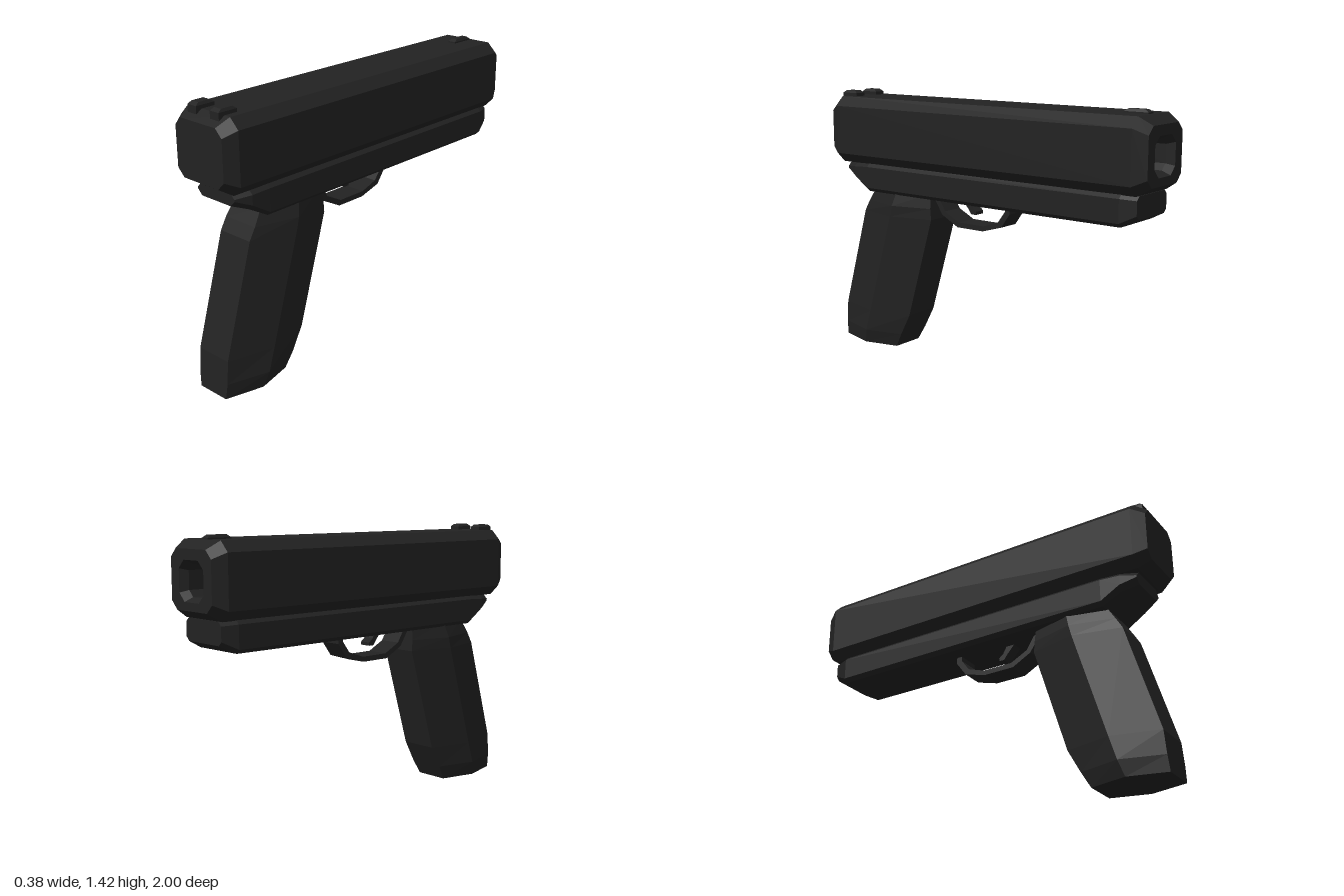
import * as THREE from 'three';

const black = new THREE.MeshStandardMaterial({ color: 0x222222, flatShading: true });
black.name = 'matte black';

// Skin between closed rings of equal length, with flat caps at both ends
function loft(rings) {
  const pos = [];
  const tri = (...pts) => pts.forEach((p) => pos.push(...p));
  const n = rings[0].length;
  for (let r = 0; r < rings.length - 1; r++) {
    const a = rings[r], b = rings[r + 1];
    for (let i = 0; i < n; i++) {
      const j = (i + 1) % n;
      tri(a[i], a[j], b[j]);
      tri(a[i], b[j], b[i]);
    }
  }
  const first = rings[0], last = rings[rings.length - 1];
  for (let i = 1; i < n - 1; i++) {
    tri(first[0], first[i + 1], first[i]);
    tri(last[0], last[i], last[i + 1]);
  }
  const geo = new THREE.BufferGeometry();
  geo.setAttribute('position', new THREE.Float32BufferAttribute(pos, 3));
  geo.computeVertexNormals();
  return geo;
}

// Rectangle with cut corners, lying across z
function octagon(z, hw, y0, y1, c) {
  return [
    [hw, y0 + c, z], [hw, y1 - c, z], [hw - c, y1, z], [c - hw, y1, z],
    [-hw, y1 - c, z], [-hw, y0 + c, z], [c - hw, y0, z], [hw - c, y0, z],
  ];
}

// Six-sided grip section, lying across y
function hexagon(y, front, back, hw, flat) {
  const mid = (front + back) / 2;
  return [
    [-flat, y, back], [flat, y, back], [hw, y, mid],
    [flat, y, front], [-flat, y, front], [-hw, y, mid],
  ];
}

// Side outline given as [z, y], thickened evenly across x
function sidePlate(points, width) {
  const shape = new THREE.Shape(points.map(([z, y]) => new THREE.Vector2(-z, y)));
  const geo = new THREE.ExtrudeGeometry(shape, { depth: width, bevelEnabled: false });
  geo.translate(0, 0, -width / 2);
  return geo.rotateY(Math.PI / 2);
}

// Small sight block with a bevelled top
function sight(x, z, hw, hl, top) {
  const ring = (y, w, l) => [[x - w, y, z + l], [x + w, y, z + l], [x + w, y, z - l], [x - w, y, z - l]];
  return loft([
    ring(1.37, hw, hl), ring(top - 0.013, hw, hl), ring(top, hw - 0.007, hl - 0.02),
  ]);
}

export function createModel() {
  const group = new THREE.Group();
  const add = (name, geo) => {
    const mesh = new THREE.Mesh(geo, black);
    mesh.name = name;
    group.add(mesh);
  };

  // Slide: starts inside the bore, folds over the muzzle face, runs to the back
  add('slide', loft([
    octagon(-0.7, 0.075, 1.13, 1.28, 0.03),
    octagon(-0.96, 0.075, 1.13, 1.28, 0.03),
    octagon(-1, 0.095, 1.11, 1.3, 0.04),
    octagon(-1, 0.155, 1.07, 1.35, 0.04),
    octagon(-0.935, 0.19, 1.03, 1.39, 0.05),
    octagon(0.935, 0.19, 1.03, 1.39, 0.05),
    octagon(1, 0.155, 1.07, 1.35, 0.04),
  ]));

  // Frame under the slide, tapered at both ends
  add('frame', loft([
    octagon(-0.94, 0.135, 0.92, 1.03, 0.02),
    octagon(-0.86, 0.16, 0.88, 1.035, 0.02),
    octagon(0.74, 0.16, 0.88, 1.035, 0.02),
    octagon(0.84, 0.155, 0.935, 1.035, 0.025),
    octagon(0.92, 0.125, 0.965, 1.03, 0.028),
  ]));

  // Raked grip
  add('grip', loft([
    hexagon(0, 0.61, 1, 0.14, 0.09),
    hexagon(0.08, 0.565, 0.994, 0.16, 0.1),
    hexagon(0.2, 0.5, 0.985, 0.16, 0.1),
    hexagon(0.76, 0.33, 0.82, 0.16, 0.1),
    hexagon(0.82, 0.335, 0.785, 0.16, 0.1),
    hexagon(0.9, 0.34, 0.735, 0.14, 0.09),
  ]));

  // Trigger guard: outer edge, then back along the inner edge
  add('triggerGuard', sidePlate([
    [0.345, 0.88], [0.285, 0.79], [0.18, 0.735], [0.01, 0.735], [-0.11, 0.77], [-0.165, 0.845], [-0.165, 0.89],
    [-0.135, 0.89], [-0.135, 0.855], [-0.09, 0.795], [0.005, 0.762], [0.17, 0.762], [0.265, 0.81], [0.315, 0.89],
  ], 0.12));
  add('trigger', sidePlate([
    [0.18, 0.89], [0.13, 0.835], [0.11, 0.808], [0.08, 0.808], [0.08, 0.825], [0.105, 0.845], [0.13, 0.89],
  ], 0.06));

  // Sights
  for (const side of [-1, 1]) {
    add(side > 0 ? 'rearSightLeft' : 'rearSightRight', sight(side * 0.075, 0.915, 0.029, 0.052, 1.42));
  }
  add('frontSight', sight(0, -0.855, 0.022, 0.065, 1.41));

  return group;
}
